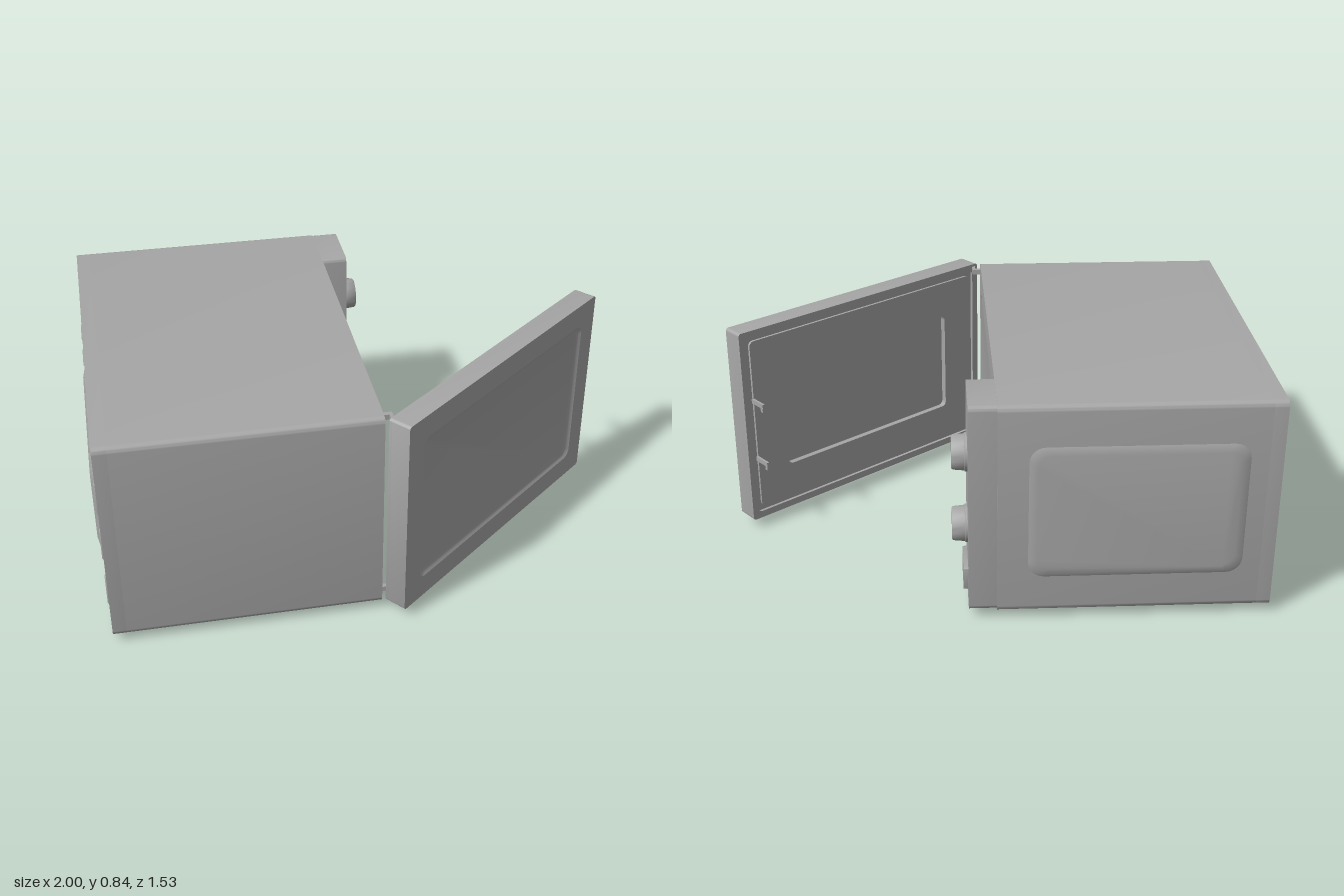
import * as THREE from 'three';
import { toCreasedNormals } from 'three/addons/utils/BufferGeometryUtils.js';

const grey = new THREE.MeshStandardMaterial({ color: 0xa6a6a6 });
grey.name = 'metal grey';

function add(parent, name, geometry, x = 0, y = 0, z = 0) {
  const mesh = new THREE.Mesh(toCreasedNormals(geometry, 0.6), grey);
  mesh.name = name;
  mesh.position.set(x, y, z);
  parent.add(mesh);
  return mesh;
}

// Rounded rectangle [x0, x1, y0, y1, radius] as a counter-clockwise list of points
function ring([x0, x1, y0, y1, r], seg = 6) {
  const pts = [];
  const corners = [[x1 - r, y0 + r], [x1 - r, y1 - r], [x0 + r, y1 - r], [x0 + r, y0 + r]];
  corners.forEach(([cx, cy], k) => {
    for (let i = 0; i <= seg; i++) {
      const a = (k - 1 + i / seg) * Math.PI / 2;
      pts.push(new THREE.Vector2(cx + r * Math.cos(a), cy + r * Math.sin(a)));
    }
  });
  return pts;
}

const inset = ([x0, x1, y0, y1, r], d, nr = r) => [x0 + d, x1 - d, y0 + d, y1 - d, nr];

// Plate of a rounded rectangle, with an optional rounded hole, between two depths
function plate(rect, z0, z1, hole) {
  const shape = new THREE.Shape(ring(rect));
  if (hole) shape.holes.push(new THREE.Path(ring(hole)));
  return new THREE.ExtrudeGeometry(shape, { depth: z1 - z0, bevelEnabled: false }).translate(0, 0, z0);
}

// Loft through rounded rectangles [rect, z]; the last one is capped facing +z
function loft(levels) {
  const rings = levels.map(([rect, z]) => ring(rect).map(p => new THREE.Vector3(p.x, p.y, z)));
  const n = rings[0].length, out = [];
  const tri = (...v) => v.forEach(p => out.push(p.x, p.y, p.z));
  for (let k = 0; k + 1 < rings.length; k++) {
    for (let i = 0; i < n; i++) {
      const j = (i + 1) % n, a = rings[k], b = rings[k + 1];
      tri(a[i], a[j], b[j]);
      tri(a[i], b[j], b[i]);
    }
  }
  const last = rings[rings.length - 1];
  for (let i = 1; i + 1 < n; i++) tri(last[0], last[i], last[i + 1]);
  const g = new THREE.BufferGeometry();
  g.setAttribute('position', new THREE.Float32BufferAttribute(out, 3));
  return g;
}

// Pressed panel with sloping edges, centred on the origin and facing +z
function emboss(w, h, r, depth, bevel) {
  const rect = [-w / 2, w / 2, -h / 2, h / 2, r];
  return loft([[rect, -0.002], [inset(rect, bevel * 0.4, r * 0.9), depth * 0.55], [inset(rect, bevel, r * 0.7), depth]]);
}

function buildBody(oven) {
  const body = new THREE.Group();
  body.name = 'body';
  oven.add(body);
  const outer = [-0.69, 0.76, 0.03, 0.84, 0.022];
  const opening = [-0.61, 0.41, 0.135, 0.735, 0.035];
  add(body, 'casing', plate(outer, -0.93, 0.005, opening));
  add(body, 'backPlate', plate(outer, -0.98, -0.93));

  // Cooking cavity, narrowing towards a rounded back wall
  add(body, 'cavity', loft([
    [opening, 0.005], [inset(opening, 0.004, 0.04), -0.02], [inset(opening, 0.015, 0.05), -0.82],
    [inset(opening, 0.03, 0.05), -0.87], [inset(opening, 0.06, 0.04), -0.9],
  ]));

  // Pressed panels on the back, the side and the underside
  add(body, 'backPanel', emboss(0.79, 0.4, 0.05, 0.02, 0.05), -0.065, 0.4, -0.98).rotation.y = Math.PI;
  add(body, 'sidePanel', emboss(0.77, 0.52, 0.06, 0.009, 0.035), 0.76, 0.43, -0.485).rotation.y = Math.PI / 2;
  add(body, 'basePanel', emboss(1.32, 0.82, 0.05, 0.011, 0.035), 0.02, 0.03, -0.49).rotation.x = Math.PI / 2;

  // Vents on the back
  for (let i = 0; i < 5; i++) {
    add(body, 'topVent', emboss(0.12, 0.03, 0.014, 0.007, 0.008), 0.28 - i * 0.19, 0.735, -0.98).rotation.y = Math.PI;
  }
  for (const y of [0.17, 0.375, 0.575]) {
    add(body, 'sideVent', emboss(0.035, 0.14, 0.016, 0.007, 0.008), -0.59, y, -0.98).rotation.y = Math.PI;
  }

  // Feet
  for (const x of [-0.49, 0.53]) {
    for (const z of [-0.775, -0.2]) add(body, 'foot', new THREE.CylinderGeometry(0.025, 0.023, 0.034, 20), x, 0.017, z);
  }

  // Latch slots and hinges on the front
  for (const y of [0.31, 0.565]) add(body, 'latchSlot', plate([-0.007, 0.007, -0.026, 0.026, 0.005], 0, 0.003), 0.463, y, 0.005);
  for (const y of [0.055, 0.818]) {
    add(body, 'hingeArm', new THREE.BoxGeometry(0.018, 0.02, 0.036), -0.64, y, 0.022);
    add(body, 'hingePlate', new THREE.BoxGeometry(0.06, 0.02, 0.012), -0.665, y, 0.034);
  }
}

function buildTurntable(oven) {
  const table = new THREE.Group();
  table.name = 'turntable';
  table.position.set(-0.1, 0.15, -0.45);
  oven.add(table);
  const profile = [[0, 0.002], [0.4, 0.002], [0.45, 0.014], [0.45, 0.018], [0.4, 0.008], [0, 0.008]];
  add(table, 'plate', new THREE.LatheGeometry(profile.map(p => new THREE.Vector2(...p)), 48));
  add(table, 'rollerRing', new THREE.TorusGeometry(0.39, 0.006, 8, 48).rotateX(Math.PI / 2), 0, -0.005, 0);
}

function buildControls(oven) {
  const controls = new THREE.Group();
  controls.name = 'controlPanel';
  oven.add(controls);
  add(controls, 'panel', plate([0.51, 0.755, 0.036, 0.838, 0.018], 0.005, 0.105));
  // Knobs
  const profile = [[0.069, 0], [0.069, 0.008], [0.065, 0.01], [0.061, 0.05], [0.057, 0.055], [0, 0.055]];
  for (const y of [0.325, 0.61]) {
    const points = profile.map(p => new THREE.Vector2(...p));
    add(controls, 'knob', new THREE.LatheGeometry(points, 40).rotateX(Math.PI / 2), 0.63, y, 0.105);
    add(controls, 'knobMark', new THREE.BoxGeometry(0.006, 0.04, 0.003), 0.63, y + 0.03, 0.16);
  }
  // Door release button
  add(controls, 'button', plate([0.55, 0.71, 0.095, 0.185, 0.008], 0.105, 0.122));
}

function buildDoor(oven) {
  const door = new THREE.Group();
  door.name = 'door';
  door.position.set(-0.69, 0, 0.018);
  door.rotation.y = -THREE.MathUtils.degToRad(50.4);
  oven.add(door);
  const outer = [0, 1.2, 0.036, 0.838, 0.012];
  const rim = [0.085, 1.115, 0.125, 0.745, 0.035];
  const glass = inset(rim, 0.1, 0.02);

  add(door, 'frame', plate(outer, 0.012, 0.088, rim));
  // Window sunk into the outer face
  add(door, 'window', loft([[rim, 0.088], [inset(rim, 0.008, 0.032), 0.083], [inset(rim, 0.016, 0.028), 0.08]]));
  // Lip, raised pad and sunk glass on the inner face
  add(door, 'innerLip', plate(outer, 0, 0.012, inset(outer, 0.028)));
  add(door, 'innerPad', plate(inset(outer, 0.045, 0.02), 0.002, 0.03, glass));
  add(door, 'innerGlass', plate(inset(glass, -0.02), 0.025, 0.06));
  // Latch hooks
  for (const y of [0.3, 0.55]) {
    add(door, 'latchArm', new THREE.BoxGeometry(0.01, 0.018, 0.075), 1.158, y, -0.033);
    add(door, 'latchHook', new THREE.BoxGeometry(0.01, 0.025, 0.014), 1.158, y - 0.012, -0.062);
  }
}

export function createModel() {
  const model = new THREE.Group();
  model.name = 'microwaveOven';
  // Built facing +z, then turned so the door side faces +x
  const oven = new THREE.Group();
  oven.name = 'oven';
  oven.rotation.y = Math.PI / 2;
  model.add(oven);
  buildBody(oven);
  buildTurntable(oven);
  buildControls(oven);
  buildDoor(oven);
  return model;
}
